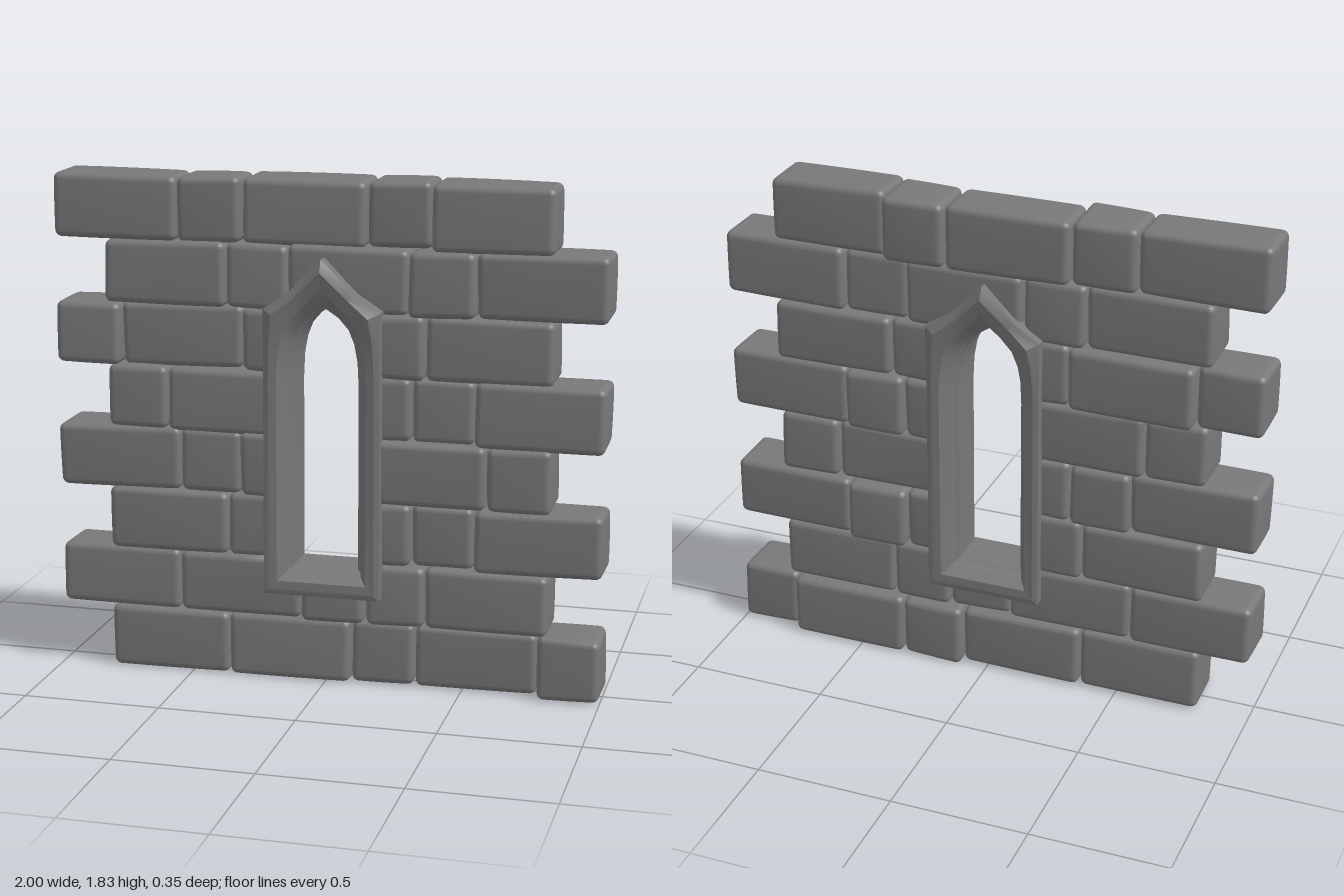
import * as THREE from 'three';
import { mergeVertices, toCreasedNormals } from 'three/addons/utils/BufferGeometryUtils.js';

const stone = new THREE.MeshStandardMaterial({ color: 0x787878 });

// Small seeded generator, returns -1..1
let seed = 7;
const rand = () => {
  seed = (seed * 16807) % 2147483647;
  return (seed / 2147483647) * 2 - 1;
};

// Courses from the ground up: bottom, top, runs of joint positions, depth offset per block
const COURSES = [
  { y: [0, 0.237], runs: [[-0.81, -0.36, 0.093, 0.327, 0.772, 1]], dz: [0, -0.01, -0.03, -0.035, 0] },
  { y: [0.232, 0.458], runs: [[-0.995, -0.545, -0.087, 0.148, 0.367, 0.812]], dz: [0, 0, 0.01, -0.005, 0] },
  { y: [0.454, 0.685], runs: [[-0.81, -0.36, -0.145], [0.145, 0.312, 0.54, 1]], dz: [0, -0.01, -0.01, -0.022, 0] },
  { y: [0.681, 0.914], runs: [[-1, -0.538, -0.313, -0.145], [0.145, 0.583, 0.813]], dz: [0, -0.012, 0, 0.008, 0] },
  { y: [0.908, 1.14], runs: [[-0.81, -0.582, -0.145], [0.145, 0.312, 0.537, 1]], dz: [0, -0.005, -0.01, -0.02, 0] },
  { y: [1.136, 1.366], runs: [[-1, -0.76, -0.306, -0.145], [0.145, 0.362, 0.813]], dz: [0, -0.033, -0.01, 0, -0.008] },
  { y: [1.362, 1.597], runs: [[-0.813, -0.362, -0.135, 0.3, 0.54, 1]], dz: [0, -0.01, -0.012, 0.012, 0] },
  { y: [1.592, 1.828], runs: [[-1, -0.54, -0.308, 0.145, 0.377, 0.812]], dz: [0, -0.008, -0.028, -0.035, 0] },
];

const SEGS = 10, ROUND_SEGS = 3, RADIUS = 0.024, CROWN = 0.004;

// Grid line k of an axis: close together at the rounded ends, wide in the middle
function gridLine(k, half) {
  if (k > SEGS / 2) return -gridLine(SEGS - k, half);
  if (k <= ROUND_SEGS) return -half + (RADIUS * k) / ROUND_SEGS;
  return (-(half - RADIUS) * (SEGS / 2 - k)) / (SEGS / 2 - ROUND_SEGS);
}

// Rounded, slightly crowned stone block whose eight corners are nudged a little
function makeBlock(x0, x1, y0, y1, dz) {
  const half = [(x1 - x0) / 2 - 0.003, (y1 - y0) / 2 - 0.002, 0.104];
  const centre = [(x0 + x1) / 2, (y0 + y1) / 2, dz];
  const nudge = Array.from({ length: 8 }, () => [rand() * 0.003, rand() * 0.005, rand() * 0.006]);
  const geo = new THREE.BoxGeometry(1, 1, 1, SEGS, SEGS, SEGS);
  geo.deleteAttribute('uv');
  geo.deleteAttribute('normal');
  const pos = geo.attributes.position;
  const v = new THREE.Vector3();
  for (let i = 0; i < pos.count; i++) {
    const q = v.fromBufferAttribute(pos, i).toArray().map((c, a) => gridLine(Math.round((c + 0.5) * SEGS), half[a]));
    const core = q.map((c, a) => THREE.MathUtils.clamp(c, RADIUS - half[a], half[a] - RADIUS));
    v.set(q[0] - core[0], q[1] - core[1], q[2] - core[2]).setLength(RADIUS);
    const p = v.toArray().map((c, a) => c + core[a]);
    const t = p.map((c, a) => c / half[a]);
    const bulge = (a) => t[a] * CROWN * (1 - t[(a + 1) % 3] ** 2) * (1 - t[(a + 2) % 3] ** 2);
    const out = p.map((c, a) => c + centre[a] + bulge(a));
    for (let c = 0; c < 8; c++) {
      const side = (bit, a) => (c & bit ? 1 + t[a] : 1 - t[a]) / 2;
      const k = side(1, 0) * side(2, 1) * side(4, 2);
      for (let a = 0; a < 3; a++) out[a] += nudge[c][a] * k;
    }
    // stay clear of the window opening, above and below
    if (Math.abs(out[0]) < 0.14) {
      if (y0 < 0.4) out[1] = Math.min(out[1], 0.395);
      else if (y0 > 1.3) out[1] = Math.max(out[1], 1.41);
    }
    pos.setXYZ(i, THREE.MathUtils.clamp(out[0], -1, 1), Math.max(0, out[1]), out[2]);
  }
  const smooth = mergeVertices(geo, 1e-5);
  smooth.computeVertexNormals();
  return new THREE.Mesh(smooth, stone);
}

function makeWall() {
  const wall = new THREE.Group();
  wall.name = 'stoneWall';
  COURSES.forEach(({ y, runs, dz }, row) => {
    const course = new THREE.Group();
    course.name = `course${row + 1}`;
    let n = 0;
    for (const run of runs) {
      for (let i = 0; i + 1 < run.length; i++) {
        const block = makeBlock(run[i], run[i + 1], y[0], y[1], dz[n]);
        block.name = `block${++n}`;
        course.add(block);
      }
    }
    wall.add(course);
  });
  return wall;
}

// Pointed window surround: a moulding swept along the opening, lip and outer outlines
function makeWindowFrame() {
  // opening, lip and outer edge as x, y pairs, then the rise of the face ridge
  const half = [
    [[0.118, 0.43], [0.163, 0.388], [0.212, 0.338], 0],
    [[0.118, 1.1], [0.163, 1.12], [0.21, 1.12], 0],
    [[0.114, 1.185], [0.159, 1.2], [0.21, 1.2], 0.002],
    [[0.102, 1.25], [0.145, 1.275], [0.211, 1.29], 0.009],
    [[0.082, 1.3], [0.118, 1.335], [0.211, 1.378], 0.022],
    [[0.044, 1.343], [0.066, 1.39], [0.12, 1.437], 0.004],
    [[0, 1.372], [0, 1.45], [0, 1.56], 0.018],
  ];
  const flip = ([x, y]) => [-x, y];
  const mirrored = half.slice(0, -1).reverse().map(([a, b, c, rise]) => [flip(a), flip(b), flip(c), rise]);
  const stations = [...half, ...mirrored];

  // moulding profile: 0 opening, 1 lip, 2 outer edge; depth; share of the rise
  const front = [[0, 0.07, 0], [0.3, 0.085, 0], [0.4, 0.11, 0], [1, 0.148, 0], [1.6, 0.152, 1], [2, 0.146, 0]];
  const profile = [...front, ...front.slice().reverse().map(([u, z, r]) => [u, -z, -r])];

  const verts = [], index = [];
  const m = profile.length, n = stations.length;
  stations.forEach(([inner, lip, outer, rise], i) => {
    profile.forEach(([u, z, share], j) => {
      const [from, to, t] = u < 1 ? [inner, lip, u] : [lip, outer, u - 1];
      verts.push(from[0] + (to[0] - from[0]) * t, from[1] + (to[1] - from[1]) * t, z + rise * share);
      const a = i * m + j, b = i * m + ((j + 1) % m);
      const c = ((i + 1) % n) * m + j, d = ((i + 1) % n) * m + ((j + 1) % m);
      index.push(a, b, c, b, d, c);
    });
  });
  const geo = new THREE.BufferGeometry();
  geo.setAttribute('position', new THREE.Float32BufferAttribute(verts, 3));
  geo.setIndex(index);
  const frame = new THREE.Mesh(toCreasedNormals(geo, 0.4), stone);
  frame.name = 'windowFrame';
  return frame;
}

export function createModel() {
  const model = new THREE.Group();
  model.name = 'wallWithWindow';
  model.add(makeWall(), makeWindowFrame());
  return model;
}
